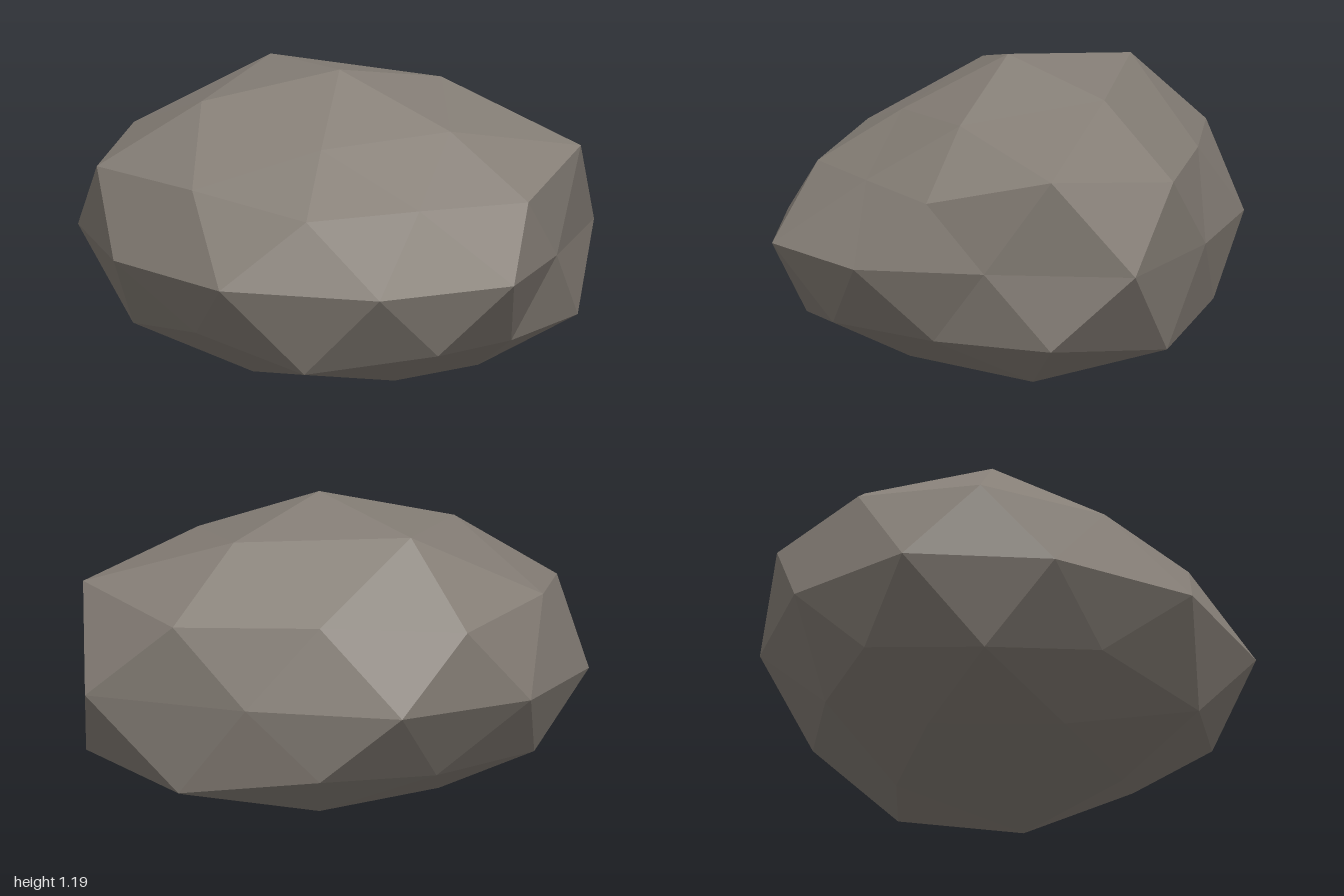
import * as THREE from 'three';

// Angular faceted boulder: a once-subdivided icosahedron, stretched, turned
// about the vertical and pushed in or out at every corner.
const STRETCH = [1.07, 0.665, 0.93];
const TURN = THREE.MathUtils.degToRad(35.1);
const CENTRE = [-0.01, 0.5, 0];

// Icosphere latitudes as [height, ring radius]
const CAP = [0.851, 0.526], CORNER = [0.447, 0.894], MID = [0.526, 0.851];

// How far each corner lies from the centre, ring by ring
const topRadii = [0.888, 0.825, 0.995, 1.09, 1.02];
const upperRadii = [0.89, 0.78, 0.875, 0.915, 1.03, 1.018, 1.035, 0.918, 1.03, 1.075];
const waistRadii = [0.928, 0.982, 0.987, 0.949, 0.993, 0.962, 0.982, 0.889, 1.068, 0.825];
const lowerRadii = [0.85, 0.915, 0.972, 0.85, 0.92, 0.93, 0.86, 0.945, 1.04, 1.01];
const bottomRadii = [0.87, 0.87, 0.88, 0.92, 1.0];

function corner(angleDeg, height, ring, r) {
  const a = THREE.MathUtils.degToRad(angleDeg);
  const x = STRETCH[0] * ring * r * Math.cos(a);
  const z = STRETCH[2] * ring * r * Math.sin(a);
  let y = STRETCH[1] * height * r;
  if (y < -0.4) y *= 0.92; // settled, slightly flattened underside
  return [
    CENTRE[0] + x * Math.cos(TURN) - z * Math.sin(TURN),
    Math.max(0, CENTRE[1] + y),
    CENTRE[2] + x * Math.sin(TURN) + z * Math.cos(TURN),
  ];
}

function boulderGeometry() {
  const top = corner(0, 1, 0, 1.032);
  const bottom = corner(0, -1, 0, 0.82);
  const cap = topRadii.map((r, k) => corner(72 * k, CAP[0], CAP[1], r));
  const base = bottomRadii.map((r, k) => corner(72 * k + 36, -CAP[0], CAP[1], r));
  const waist = waistRadii.map((r, j) => corner(36 * j + 18, 0, 1, r));
  const upper = upperRadii.map((r, j) => {
    const [h, w] = j % 2 ? MID : CORNER;
    return corner(36 * j, h, w, r);
  });
  const lower = lowerRadii.map((r, j) => {
    const [h, w] = j % 2 ? CORNER : MID;
    return corner(36 * j, -h, w, r);
  });

  const positions = [];
  const face = (a, b, c) => positions.push(...a, ...b, ...c);

  // Crown and underside
  for (let k = 0; k < 5; k++) {
    const n = (k + 1) % 5, j = 2 * k;
    const u = (i) => upper[(j + i) % 10], l = (i) => lower[(j + 1 + i) % 10];
    face(top, cap[n], cap[k]);
    face(cap[k], u(1), u(0));
    face(cap[k], cap[n], u(1));
    face(cap[n], u(2), u(1));
    face(bottom, base[k], base[n]);
    face(base[k], l(0), l(1));
    face(base[k], l(1), base[n]);
    face(base[n], l(1), l(2));
  }
  // Zigzag bands above and below the waist
  for (let j = 0; j < 10; j++) {
    const n = (j + 1) % 10, p = (j + 9) % 10;
    face(upper[j], upper[n], waist[j]);
    face(upper[j], waist[j], waist[p]);
    face(lower[j], waist[j], lower[n]);
    face(lower[j], waist[p], waist[j]);
  }

  const geometry = new THREE.BufferGeometry();
  geometry.setAttribute('position', new THREE.Float32BufferAttribute(positions, 3));
  geometry.computeVertexNormals();
  return geometry;
}

export function createModel() {
  const group = new THREE.Group();
  group.name = 'rock';
  const stone = new THREE.MeshStandardMaterial({ color: 0x857e76 });
  stone.name = 'warm grey stone';
  const boulder = new THREE.Mesh(boulderGeometry(), stone);
  boulder.name = 'boulder';
  group.add(boulder);
  return group;
}
